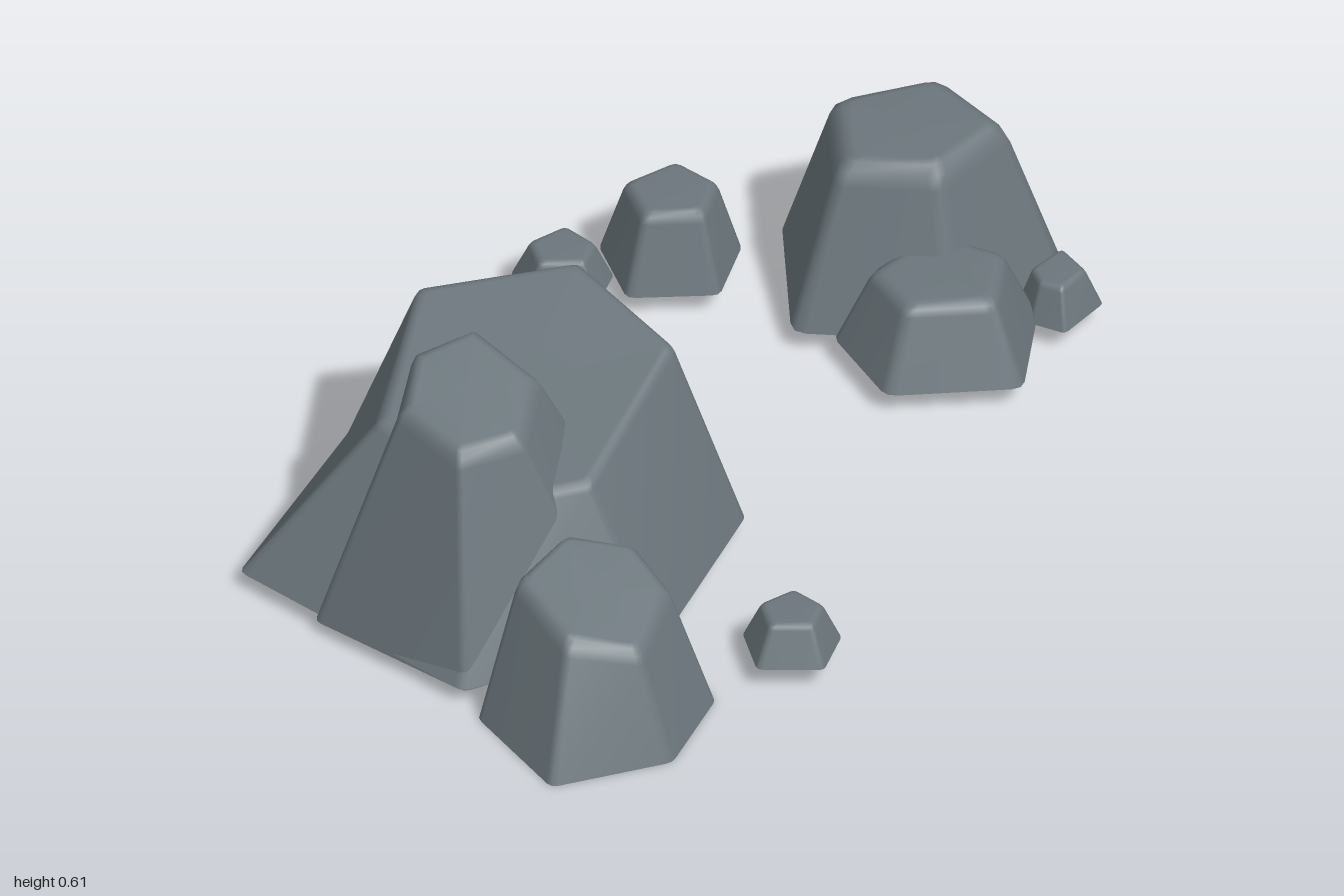
import * as THREE from 'three';

const stone = new THREE.MeshStandardMaterial({ color: 0x6b767c, side: THREE.DoubleSide });
stone.name = 'slate grey';

// Rounds every corner of a closed polygon into three points
function roundCorners(points, k) {
  const out = [];
  points.forEach((p, i) => {
    const a = p.clone().lerp(points[(i + points.length - 1) % points.length], k);
    const b = p.clone().lerp(points[(i + 1) % points.length], k);
    const mid = a.clone().add(b).multiplyScalar(0.25).addScaledVector(p, 0.5);
    out.push(a, mid, b);
  });
  return out;
}

// Open-bottomed rock: foot polygon, sloping sides, soft rim and a top cap.
// base holds [x, z], rim holds [x, y, z]; both run clockwise seen from above.
function rock(name, y0, base, rim, { corner = 0.06, drop = 0.08, inset = 0.12 } = {}) {
  const foot = roundCorners(base.map(([x, z]) => new THREE.Vector3(x, y0, z)), corner);
  const edge = roundCorners(rim.map((p) => new THREE.Vector3(...p)), corner * 1.3);
  const centre = new THREE.Vector3();
  edge.forEach((p) => centre.addScaledVector(p, 1 / edge.length));

  const rings = [foot];
  for (const t of [0, 0.35, 0.7, 1]) {
    rings.push(edge.map((p, i) => {
      const low = p.clone().lerp(foot[i], drop);
      const high = p.clone().lerp(centre, inset);
      return low.lerp(p, t).lerp(p.clone().lerp(high, t), t);
    }));
  }

  const n = foot.length;
  const index = [];
  for (let r = 0; r < rings.length - 1; r++) {
    for (let i = 0; i < n; i++) {
      const a0 = r * n + i, a1 = r * n + (i + 1) % n;
      index.push(a0, a0 + n, a1, a0 + n, a1 + n, a1);
    }
  }
  const last = (rings.length - 1) * n;
  for (let i = 0; i < n; i++) index.push(last + i, last + n, last + (i + 1) % n);

  const geometry = new THREE.BufferGeometry().setFromPoints([...rings.flat(), centre]);
  geometry.setIndex(index);
  geometry.computeVertexNormals();
  const mesh = new THREE.Mesh(geometry, stone);
  mesh.name = name;
  return mesh;
}

// Flat-topped rock whose rim is its foot scaled about the middle
function taperedRock(name, top, base, scale, soft) {
  const cx = base.reduce((s, p) => s + p[0], 0) / base.length;
  const cz = base.reduce((s, p) => s + p[1], 0) / base.length;
  const rim = base.map(([x, z]) => [cx + (x - cx) * scale, top, cz + (z - cz) * scale]);
  return rock(name, 0.055, base, rim, soft);
}

export function createModel() {
  const group = new THREE.Group();
  group.name = 'rocks';

  // Left cluster: slanted boulder, tall spire and front stone
  group.add(
    rock('slantedBoulder', 0.04,
      [[-0.45, -0.585], [-0.03, -0.265], [-0.1, 0.205], [-0.53, 0.38], [-0.935, 0.2], [-0.96, -0.41]],
      [[-0.43, 0.49, -0.41], [-0.18, 0.53, -0.2], [-0.205, 0.485, 0.1], [-0.59, 0.4, 0.23], [-0.75, 0.37, 0.1], [-0.74, 0.41, -0.22]],
      { corner: 0.03, drop: 0.05, inset: 0.07 }),
    rock('tallSpire', 0.032,
      [[-0.965, -0.19], [-0.6, -0.365], [-0.315, -0.215], [-0.315, 0.15], [-0.58, 0.32], [-0.925, 0.2]],
      [[-0.82, 0.56, -0.08], [-0.7, 0.6, -0.16], [-0.57, 0.615, -0.12], [-0.56, 0.57, 0.05], [-0.7, 0.53, 0.14], [-0.83, 0.53, 0.09]],
      { corner: 0.04, drop: 0.07, inset: 0.18 }),
    rock('frontStone', 0,
      [[-0.94, 0.25], [-0.68, 0.19], [-0.515, 0.355], [-0.555, 0.56], [-0.77, 0.645], [-1.005, 0.525]],
      [[-0.85, 0.335, 0.28], [-0.69, 0.35, 0.26], [-0.59, 0.32, 0.36], [-0.61, 0.275, 0.48], [-0.78, 0.24, 0.56], [-0.89, 0.28, 0.46]],
      { corner: 0.06, drop: 0.12, inset: 0.16 }),
  );

  // Right cluster and loose pebbles
  const soft = { corner: 0.09, drop: 0.14, inset: 0.22 };
  group.add(
    taperedRock('rightBoulder', 0.425,
      [[0.665, -0.435], [1.005, -0.26], [0.965, 0.095], [0.615, 0.115], [0.4, -0.15]], 0.6, soft),
    taperedRock('rightFrontStone', 0.235,
      [[0.45, -0.08], [0.73, -0.08], [0.81, 0.16], [0.595, 0.325], [0.38, 0.14]], 0.64, soft),
    taperedRock('rightBackStone', 0.235,
      [[0.34, -0.645], [0.535, -0.605], [0.545, -0.43], [0.39, -0.345], [0.25, -0.475]], 0.64, soft),
  );
  const pebbles = {
    backPebble: [[0.15, -0.71], [0.29, -0.685], [0.29, -0.55], [0.185, -0.5], [0.085, -0.605]],
    rightPebble: [[0.805, 0.105], [0.95, 0.1], [0.92, 0.24], [0.79, 0.255], [0.765, 0.18]],
    frontPebble: [[-0.405, 0.49], [-0.275, 0.515], [-0.27, 0.645], [-0.38, 0.7], [-0.475, 0.6]],
  };
  for (const [name, base] of Object.entries(pebbles)) group.add(taperedRock(name, 0.145, base, 0.62, soft));

  return group;
}
